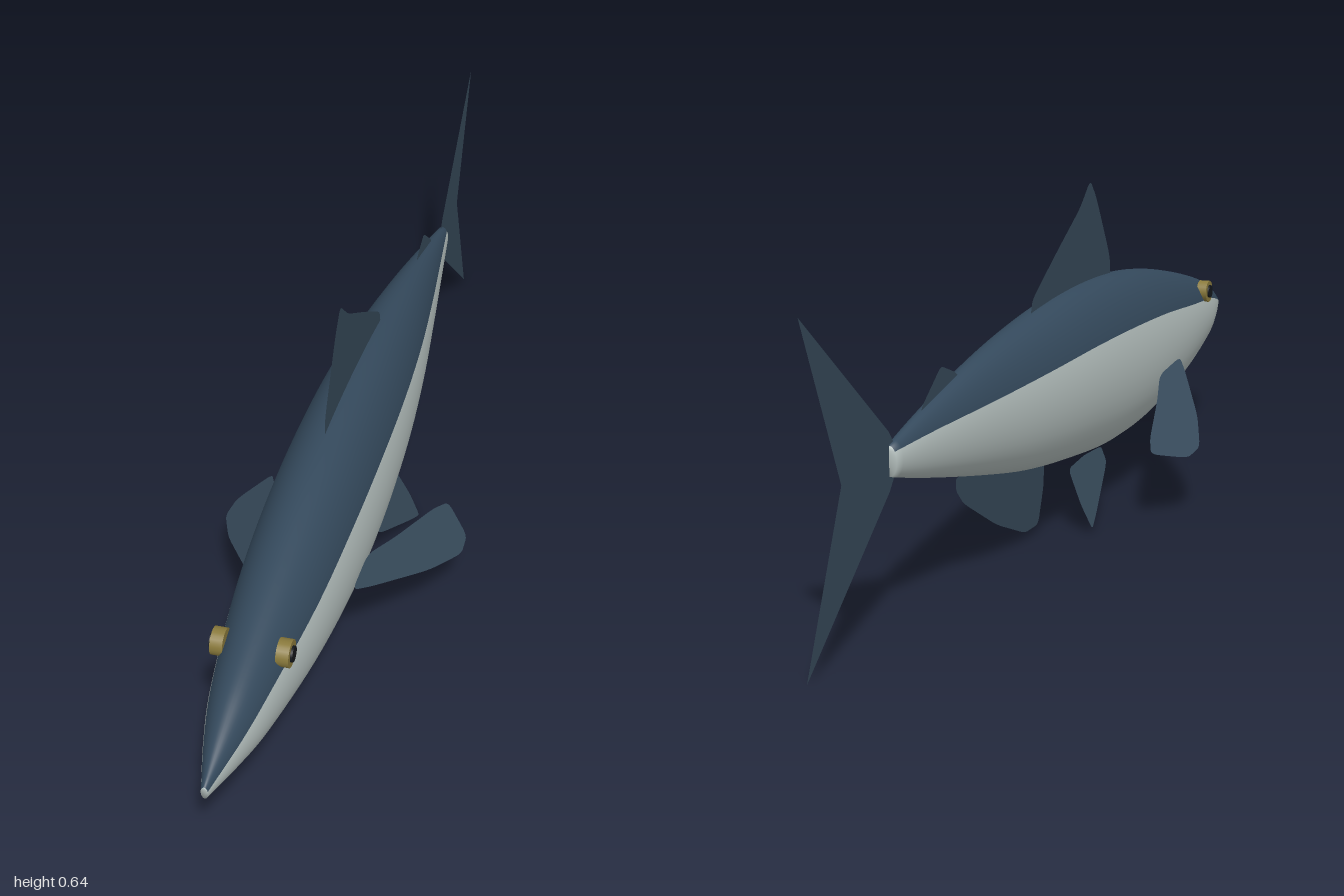
import * as THREE from 'three';

const mat = (name, color, side = THREE.FrontSide) => {
  const m = new THREE.MeshStandardMaterial({ color, side });
  m.name = name;
  return m;
};

// Body stations: z, top, bottom, half width, height of the colour line
const STATIONS = [
  [1.0, 0.296, 0.272, 0.006, 0.288],
  [0.9, 0.34, 0.235, 0.034, 0.308],
  [0.8, 0.372, 0.203, 0.055, 0.325],
  [0.6, 0.415, 0.156, 0.081, 0.342],
  [0.4, 0.445, 0.122, 0.094, 0.356],
  [0.2, 0.456, 0.111, 0.097, 0.36],
  [0.0, 0.449, 0.124, 0.092, 0.356],
  [-0.2, 0.426, 0.148, 0.077, 0.343],
  [-0.4, 0.392, 0.186, 0.054, 0.328],
  [-0.6, 0.345, 0.23, 0.029, 0.314],
  [-0.72, 0.312, 0.26, 0.014, 0.303],
];

// Lofted ellipses, each split at the colour line into a back arc and a belly arc
function bodyGeometry() {
  const outline = new THREE.CatmullRomCurve3(STATIONS.map(s => new THREE.Vector3(s[0], s[1], s[2])), false, 'catmullrom');
  const paint = new THREE.CatmullRomCurve3(STATIONS.map(s => new THREE.Vector3(s[0], s[3], s[4])), false, 'catmullrom');
  const rows = 60, nBack = 18, nBelly = 26, n = nBack + nBelly;
  const pos = [], back = [], belly = [];
  for (let i = 0; i <= rows; i++) {
    const o = outline.getPoint(i / rows), p = paint.getPoint(i / rows);
    const cy = (o.y + o.z) / 2, ry = (o.y - o.z) / 2;
    const a = Math.asin(THREE.MathUtils.clamp((p.z - cy) / ry, -0.9, 0.9));
    for (let j = 0; j < n; j++) {
      const t = j < nBack
        ? a + (Math.PI - 2 * a) * j / nBack
        : Math.PI - a + (Math.PI + 2 * a) * (j - nBack) / nBelly;
      pos.push(p.y * Math.cos(t), cy + ry * Math.sin(t), o.x);
    }
  }
  for (let i = 0; i < rows; i++) {
    for (let j = 0; j < n; j++) {
      const k = (j + 1) % n, a = i * n + j, b = i * n + k, c = a + n, d = b + n;
      (j < nBack ? back : belly).push(a, c, b, b, c, d);
    }
  }
  // End caps
  const last = rows * n;
  for (let j = 1; j < n - 1; j++) {
    belly.push(0, j, j + 1, last, last + j + 1, last + j);
  }
  const g = new THREE.BufferGeometry();
  g.setAttribute('position', new THREE.Float32BufferAttribute(pos, 3));
  g.setIndex([...back, ...belly]);
  g.addGroup(0, back.length, 0);
  g.addGroup(back.length, belly.length, 1);
  g.computeVertexNormals();
  return g;
}

// Flat fin: a 2D outline with rounded corners, then placed in space by a rule
function finGeometry(points, place, round = 0.25) {
  const v = points.map(p => new THREE.Vector2(...p)), n = v.length;
  const shape = new THREE.Shape();
  v.forEach((p, i) => {
    const a = p.clone().lerp(v[(i + n - 1) % n], round);
    const b = p.clone().lerp(v[(i + 1) % n], round);
    if (i === 0) shape.moveTo(a.x, a.y); else shape.lineTo(a.x, a.y);
    if (round > 0) shape.quadraticCurveTo(p.x, p.y, b.x, b.y);
  });
  const g = new THREE.ShapeGeometry(shape, 6);
  const pos = g.attributes.position;
  for (let i = 0; i < pos.count; i++) pos.setXYZ(i, ...place(pos.getX(i), pos.getY(i)));
  g.computeVertexNormals();
  return g;
}

export function createModel() {
  const group = new THREE.Group();
  const backBlue = mat('back blue', 0x34495c);
  const silver = mat('belly silver', 0xb4bfbd);
  const finBlue = mat('fin blue', 0x364959, THREE.DoubleSide);
  const gold = mat('eye gold', 0x8a7a3c);
  const black = mat('pupil black', 0x14181c);

  const add = (name, geometry, material) => {
    const m = new THREE.Mesh(geometry, material);
    m.name = name;
    group.add(m);
    return m;
  };

  add('body', bodyGeometry(), [backBlue, silver]);

  // Fins on the centre plane, outlined in (z, y)
  const upright = (z, y) => [0, y, z];
  add('dorsalFin', finGeometry([
    [0.28, 0.44], [0.275, 0.49], [0.2, 0.615], [0.165, 0.655], [0.11, 0.605],
    [0.0, 0.54], [-0.13, 0.46], [-0.14, 0.425], [0.05, 0.43],
  ], upright), finBlue);
  add('rearDorsalFin', finGeometry([
    [-0.44, 0.365], [-0.47, 0.386], [-0.525, 0.406], [-0.6, 0.35], [-0.6, 0.33], [-0.5, 0.35],
  ], upright, 0.15), finBlue);
  add('analFin', finGeometry([
    [-0.075, 0.14], [-0.078, 0.09], [-0.105, 0.02], [-0.17, 0.02], [-0.3, 0.07],
    [-0.44, 0.145], [-0.47, 0.175], [-0.47, 0.2], [-0.3, 0.185],
  ], upright, 0.2), finBlue);
  add('tailFin', finGeometry([
    [-0.68, 0.285], [-0.72, 0.335], [-1.0, 0.565], [-0.88, 0.285], [-1.0, 0.005], [-0.72, 0.235],
  ], upright, 0), finBlue);

  for (const s of [1, -1]) {
    const side = s > 0 ? 'left' : 'right';

    // Paired fins: sloping planes
    add(side + 'PectoralFin', finGeometry([
      [0.095, 0.45], [0.12, 0.41], [0.195, 0.27], [0.235, 0.165], [0.232, 0.1],
      [0.18, 0.03], [0.16, 0.08], [0.122, 0.23], [0.092, 0.33],
    ], (x, z) => [s * x, 0.13 - 0.549 * (x - 0.232) + 0.151 * (z - 0.13), z]), finBlue);
    add(side + 'PelvicFin', finGeometry([
      [0.11, 0.13], [0.105, 0.1], [-0.03, 0.033], [-0.075, 0.013], [-0.08, 0.06], [-0.07, 0.125], [0.02, 0.132],
    ], (z, y) => [s * (0.047 + (0.128 - y) * 0.46), y, z], 0.2), finBlue);

    // Eye: a gold disc with a dark pupil
    const disc = (name, r, x0, x1, m) => {
      const e = add(name, new THREE.CylinderGeometry(r, r, x1 - x0, 24), m);
      e.rotation.z = Math.PI / 2;
      e.position.set(s * (x0 + x1) / 2, 0.352, 0.735);
    };
    disc(side + 'Eye', 0.024, 0.045, 0.067, gold);
    disc(side + 'Pupil', 0.014, 0.066, 0.071, black);
  }
  return group;
}
